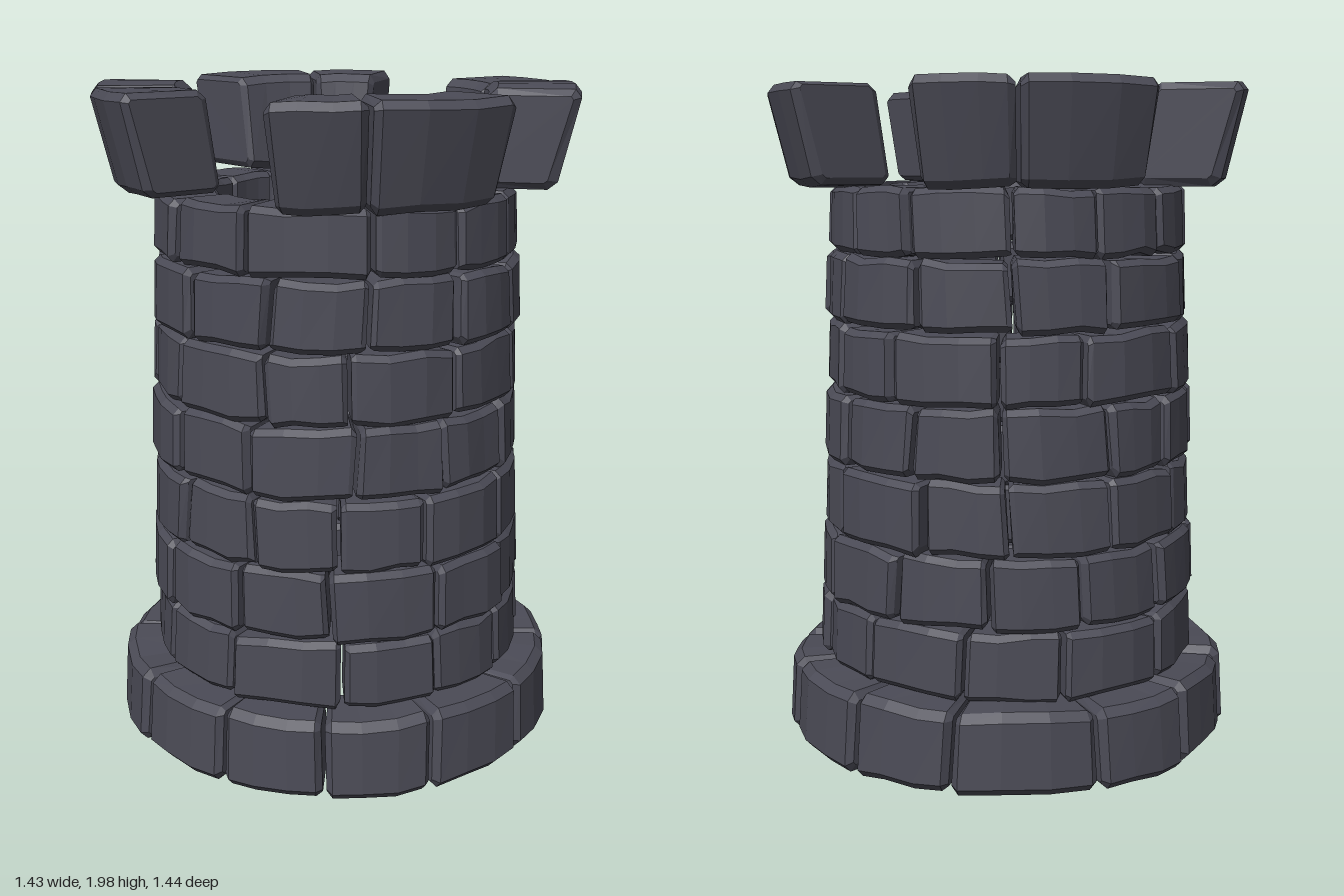
import * as THREE from 'three';

const RAD = Math.PI / 180;
const material = new THREE.MeshStandardMaterial({ color: 0x4b4b56, flatShading: true, roughness: 0.9 });

// Small seeded generator for the hand-cut wobble
let seed = 7;
const wobble = (amount) => {
  seed = (seed * 16807) % 2147483647;
  return (seed / 2147483647 - 0.5) * 2 * amount;
};

// Cut the corners of a cross-section of [radius, height] points
function chamfer(corners, b) {
  const out = [];
  corners.forEach((c, i) => {
    for (const n of [corners[(i + 3) % 4], corners[(i + 1) % 4]]) {
      const d = Math.hypot(n[0] - c[0], n[1] - c[1]);
      out.push([c[0] + (n[0] - c[0]) * b / d, c[1] + (n[1] - c[1]) * b / d]);
    }
  });
  return out;
}

// One curved stone with bevelled edges, swept between two joints {angle, lean} in degrees
function stone(ring, j0, j1, name) {
  const { y0, y1, inner, outer, bevel, rough } = ring; // inner and outer are [bottom, top] radii
  const gap = 0.006 / outer[0] / RAD;
  const a0 = j0.angle + gap, a1 = j1.angle - gap;
  const inset = bevel * 0.8 / outer[0] / RAD;
  const angles = [a0, a0 + inset];
  for (let k = 1; k < 3; k++) angles.push(a0 + (a1 - a0) * k / 3);
  angles.push(a1 - inset, a1);
  const last = angles.length - 1;
  const bulge = wobble(rough), tilt = wobble(rough);
  const pos = [], index = [];

  angles.forEach((angle, i) => {
    const t = i / last;
    const end = i === 0 || i === last;
    const s = end ? bevel * 0.8 : 0;
    const dr = bulge + wobble(rough * 0.5);
    const lo = y0 + wobble(rough * 0.7) + s;
    const hi = y1 + tilt * (t - 0.5) + wobble(rough * 0.7) - s;
    const section = chamfer([
      [inner[0] + s, lo], [outer[0] + dr - s, lo],
      [outer[1] + dr - s, hi], [inner[1] + s, hi],
    ], end ? bevel * 0.4 : bevel);
    const lean = j0.lean * (1 - t) + j1.lean * t;
    for (const [r, y] of section) {
      const a = (angle + lean * ((y - y0) / (y1 - y0) - 0.5)) * RAD;
      pos.push(r * Math.sin(a), Math.max(0, y), r * Math.cos(a));
    }
  });

  for (let i = 0; i < last; i++) {
    for (let j = 0; j < 8; j++) {
      const a = i * 8 + j, b = i * 8 + (j + 1) % 8;
      index.push(a, a + 8, b + 8, a, b + 8, b);
    }
  }
  for (let j = 1; j < 7; j++) {
    index.push(0, j, j + 1, last * 8, last * 8 + j + 1, last * 8 + j);
  }
  const indexed = new THREE.BufferGeometry();
  indexed.setAttribute('position', new THREE.Float32BufferAttribute(pos, 3));
  indexed.setIndex(index);
  const geometry = indexed.toNonIndexed();
  geometry.computeVertexNormals();
  const mesh = new THREE.Mesh(geometry, material);
  mesh.name = name;
  return mesh;
}

// A closed ring of stones: the given joints, then evenly spaced ones round the far side
function course(ring, joints, name) {
  const group = new THREE.Group();
  group.name = name;
  const angles = [...joints];
  const from = joints[joints.length - 1], rest = joints[0] + 360 - from;
  const n = Math.round(rest / 30);
  for (let k = 1; k < n; k++) angles.push(from + rest * k / n + wobble(3));
  const cuts = angles.map((angle) => ({ angle, lean: wobble(1.8) }));
  cuts.push({ angle: cuts[0].angle + 360, lean: cuts[0].lean });
  for (let k = 0; k < cuts.length - 1; k++) {
    group.add(stone(ring, cuts[k], cuts[k + 1], 'stone'));
  }
  return group;
}

export function createModel() {
  const tower = new THREE.Group();
  tower.name = 'tower';

  // Wide footing
  tower.add(course(
    { y0: 0.012, y1: 0.25, inner: [0.46, 0.45], outer: [0.682, 0.668], bevel: 0.024, rough: 0.008 },
    [-44, -17, 11, 41, 74, 99, 131], 'footing'));

  // Seven wall courses, narrowing upward
  const wallJoints = [
    [-46, -12, 17, 44, 77, 98, 127],
    [-44, -16, 17, 46, 76, 107, 138],
    [-39, -13, 13, 45, 78, 113, 147],
    [-40, -8, 20, 48, 78, 115, 143],
    [-35, -10, 25, 57, 82, 110, 136],
    [-34, -4, 25, 52, 83, 113, 145],
    [-42, -3, 25, 52, 90, 119, 142],
  ];
  const levels = [0.25, 0.455, 0.665, 0.88, 1.09, 1.295, 1.5, 1.695];
  wallJoints.forEach((joints, i) => {
    const out = 0.578 - i * 0.005, inn = 0.405 - i * 0.007;
    tower.add(course({
      y0: levels[i] + 0.003, y1: levels[i + 1] - 0.003,
      inner: [inn, inn - 0.003], outer: [out, out - 0.008], bevel: 0.018, rough: 0.011,
    }, joints, 'wallCourse'));
  });

  // Four flared battlements, each of two stones
  const battlements = [[-29, -6.5, 28.5], [61, 87, 118], [151, 175, 208], [241, 264, 294]];
  for (const angles of battlements) {
    const group = new THREE.Group();
    group.name = 'battlement';
    const cuts = angles.map((angle) => ({ angle, lean: wobble(1) }));
    const ring = { y0: 1.695, y1: 1.985, inner: [0.405, 0.45], outer: [0.655, 0.725], bevel: 0.024, rough: 0.009 };
    group.add(stone(ring, cuts[0], cuts[1], 'battlementStone'));
    group.add(stone(ring, cuts[1], cuts[2], 'battlementStone'));
    tower.add(group);
  }
  return tower;
}
